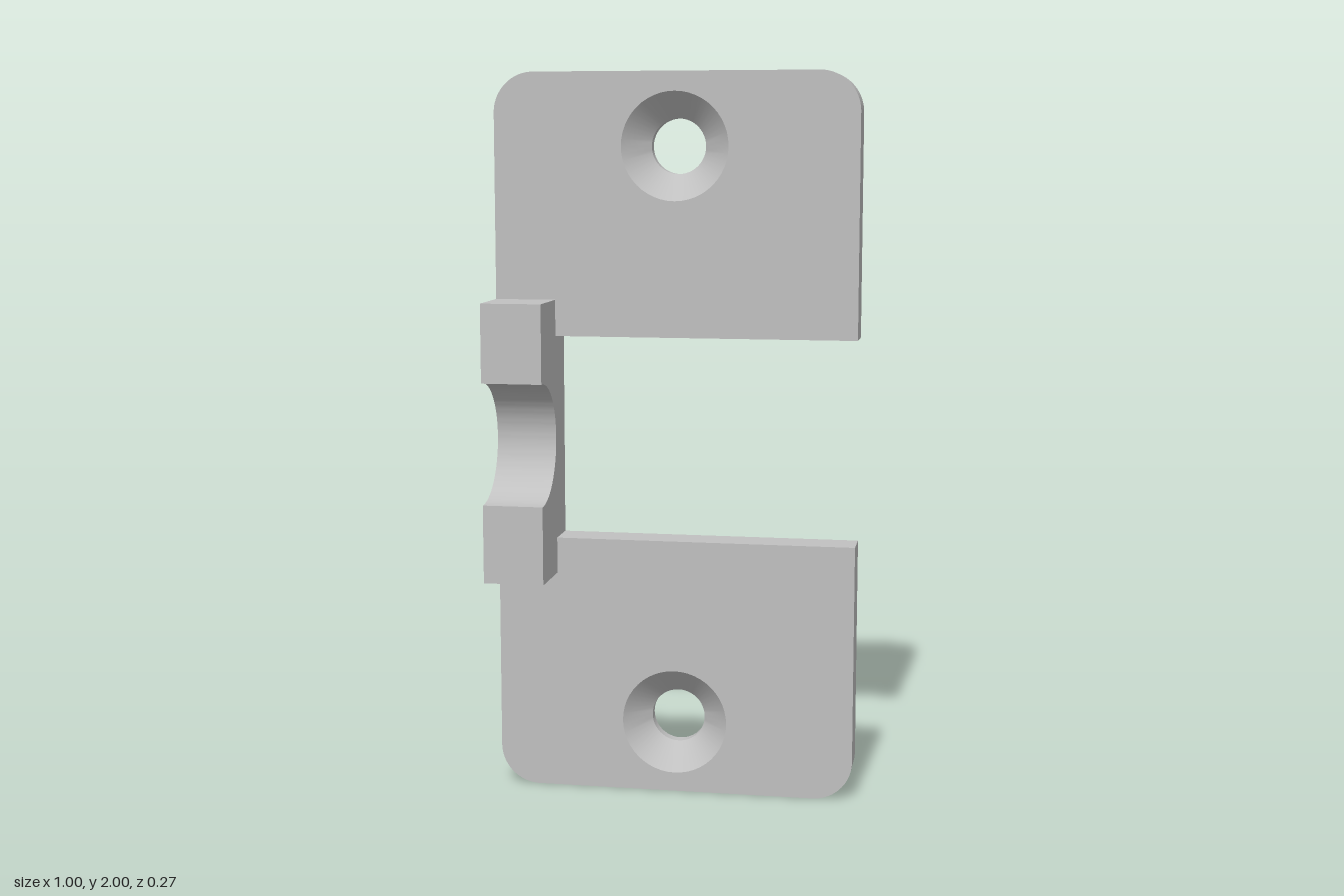
import * as THREE from 'three';
import { toCreasedNormals } from 'three/addons/utils/BufferGeometryUtils.js';

const BACK = -0.135, FRONT = -0.033, TIP = 0.135; // z levels
const LAND = -0.105;                              // z where the countersink ends
const HOLE_R = 0.075, SINK_R = 0.147, HOLE_Y = [0.2, 1.8];
const INNER_X = -0.333;                           // inside edge of the narrow web
const SEGMENTS = 24;

// C-shaped plate outline with rounded corners, optionally pierced by round holes
function plateShape(holeRadius = 0) {
  const r = 0.11, s = new THREE.Shape();
  s.moveTo(-0.5 + r, 0);
  s.lineTo(0.5 - r, 0);
  s.absarc(0.5 - r, r, r, -Math.PI / 2, 0, false);
  s.lineTo(0.5, 0.717);
  s.lineTo(INNER_X, 0.717);
  s.lineTo(INNER_X, 1.283);
  s.lineTo(0.5, 1.283);
  s.lineTo(0.5, 2 - r);
  s.absarc(0.5 - r, 2 - r, r, 0, Math.PI / 2, false);
  s.lineTo(-0.5 + r, 2);
  s.absarc(-0.5 + r, 2 - r, r, Math.PI / 2, Math.PI, false);
  s.lineTo(-0.5, r);
  s.absarc(-0.5 + r, r, r, Math.PI, Math.PI * 1.5, false);
  if (holeRadius) for (const y of HOLE_Y) {
    s.holes.push(new THREE.Path().absarc(0, y, holeRadius, 0, Math.PI * 2, true));
  }
  return s;
}

// Side walls of an extruded shape, without its caps
function wallGeometry(shape, depth) {
  const full = new THREE.ExtrudeGeometry(shape, { depth, bevelEnabled: false, curveSegments: SEGMENTS });
  const { start, count } = full.groups[1];
  const walls = new THREE.BufferGeometry();
  const points = full.attributes.position.array.slice(start * 3, (start + count) * 3);
  walls.setAttribute('position', new THREE.BufferAttribute(points, 3));
  return toCreasedNormals(walls, 0.6);
}

export function createModel() {
  const model = new THREE.Group();
  model.name = 'mountingBracket';
  const grey = new THREE.MeshStandardMaterial({ color: 0xc0c0c0 });
  grey.name = 'grey';

  const add = (name, geometry, parent = model) => {
    const mesh = new THREE.Mesh(geometry, grey);
    mesh.name = name;
    parent.add(mesh);
    return mesh;
  };

  // Plate: front face with wide holes, back face with narrow holes, walls between
  const plate = new THREE.Group();
  plate.name = 'plate';
  model.add(plate);
  add('plateFront', new THREE.ShapeGeometry(plateShape(SINK_R), SEGMENTS), plate).position.z = FRONT;
  const backFace = new THREE.ShapeGeometry(plateShape(HOLE_R), SEGMENTS);
  backFace.scale(-1, 1, 1).rotateY(Math.PI); // mirrored, then turned to face the back
  const order = backFace.index;
  for (let i = 0; i < order.count; i += 3) { // restore the winding after mirroring
    const a = order.getX(i);
    order.setX(i, order.getX(i + 2));
    order.setX(i + 2, a);
  }
  backFace.computeVertexNormals();
  add('plateBack', backFace, plate).position.z = BACK;
  add('plateEdge', wallGeometry(plateShape(), FRONT - BACK), plate).position.z = BACK;

  // Countersunk screw holes
  const profile = [[SINK_R, FRONT], [HOLE_R, LAND], [HOLE_R, BACK]].map(p => new THREE.Vector2(...p));
  for (const y of HOLE_Y) {
    const bore = toCreasedNormals(new THREE.LatheGeometry(profile, SEGMENTS * 2).rotateX(Math.PI / 2), 0.5);
    add('screwHole', bore, plate).position.y = y;
  }

  // Saddle block with a half-round channel, drawn in z and y and extruded along x
  const side = new THREE.Shape();
  side.moveTo(FRONT, 0.617);
  side.lineTo(TIP, 0.617);
  side.lineTo(TIP, 0.833);
  side.absarc(TIP, 1, 0.167, -Math.PI / 2, Math.PI / 2, true);
  side.lineTo(TIP, 1.383);
  side.lineTo(FRONT, 1.383);
  const saddle = new THREE.ExtrudeGeometry(side, { depth: 0.5 + INNER_X, bevelEnabled: false, curveSegments: 32 });
  saddle.rotateY(-Math.PI / 2).translate(INNER_X, 0, 0);
  add('saddle', toCreasedNormals(saddle, 0.5));

  return model;
}
